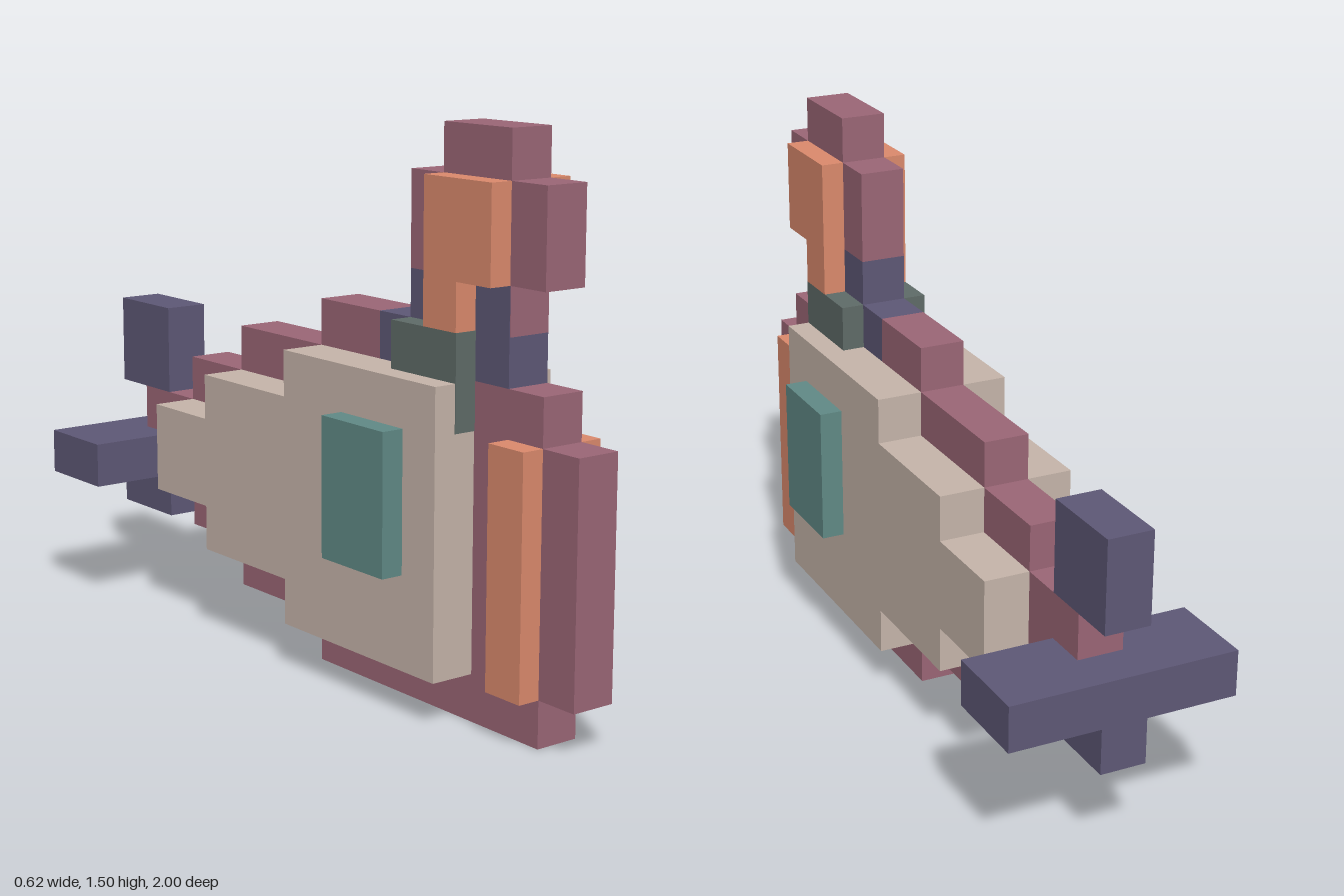
import * as THREE from 'three';

const U = 0.125; // one block
const mat = (color) => new THREE.MeshStandardMaterial({ color, flatShading: true });

export function createModel() {
  const model = new THREE.Group();
  const plum = mat(0x9b6676), orange = mat(0xdb8a6d), beige = mat(0xc6b5aa);
  const teal = mat(0x618a86), violet = mat(0x5e5876), slate = mat(0x5f6b68);

  // Side outline of [z, y] corners in blocks, extruded across x0..x1
  function slab(name, material, x0, x1, points) {
    const shape = new THREE.Shape(points.map(([z, y]) => new THREE.Vector2(z * U, y * U)));
    const geo = new THREE.ExtrudeGeometry(shape, { depth: (x1 - x0) * U, bevelEnabled: false });
    geo.rotateY(-Math.PI / 2).translate(x1 * U, 0, 0);
    const mesh = new THREE.Mesh(geo, material);
    mesh.name = name;
    model.add(mesh);
  }
  // Block given by its limits, in blocks
  function block(name, material, [x0, x1], [y0, y1], [z0, z1]) {
    const mesh = new THREE.Mesh(new THREE.BoxGeometry((x1 - x0) * U, (y1 - y0) * U, (z1 - z0) * U), material);
    mesh.position.set((x0 + x1) / 2 * U, (y0 + y1) / 2 * U, (z0 + z1) / 2 * U);
    mesh.name = name;
    model.add(mesh);
  }
  const mid = [-0.5, 0.5];

  // Stepped body: thin core with wider sides
  slab('bodyCore', plum, ...mid, [
    [8, 1], [8, 6], [7, 6], [7, 7], [2, 7], [2, 8], [0, 8], [0, 7], [-3, 7], [-3, 6], [-5, 6], [-5, 5],
    [-7, 5], [-7, 3], [-5, 3], [-5, 2], [-3, 2], [-3, 1], [0, 1], [0, 0], [7, 0], [7, 1],
  ]);
  slab('bodySides', beige, -1.5, 1.5, [
    [5, 1], [5, 7], [0, 7], [0, 6], [-3, 6], [-3, 5], [-5, 5],
    [-5, 3], [-3, 3], [-3, 2], [0, 2], [0, 1],
  ]);
  block('chestPlate', orange, [-1, 1], [1, 6], [6, 7]);

  // Neck
  block('collar', slate, [-1, 1], [6, 8], [3, 5.015]);
  block('neckFront', violet, mid, [7, 9], [5, 6]);
  block('neckBack', violet, mid, [8, 9], [3, 4]);
  block('collarBack', violet, mid, [7, 8], [2, 3]);

  // Head with cheeks
  slab('head', plum, ...mid, [[7, 9], [7, 11], [6, 11], [6, 12], [4, 12], [4, 11], [3, 11], [3, 9]]);
  block('throat', plum, [-0.49, 0.49], [8, 9], [4, 6.015]);
  for (const [side, s] of [['left', 1], ['right', -1]]) {
    const [a, b] = s > 0 ? [0.5, 1] : [-1, -0.5];
    slab(side + 'Cheek', orange, a, b, [[6, 9], [6, 11], [4, 11], [4, 8], [5, 8], [5, 9]]);
    block(side + 'Fin', teal, s > 0 ? [1.5, 2] : [-2, -1.5], [3, 6], [2, 4]);
  }

  // Tail
  block('tailFluke', violet, [-2.5, 2.5], [3, 4], [-8, -6]);
  block('tailUpperFin', violet, mid, [5, 7], [-8, -6]);
  block('tailLowerFin', violet, mid, [2, 3], [-8, -6]);

  return model;
}
